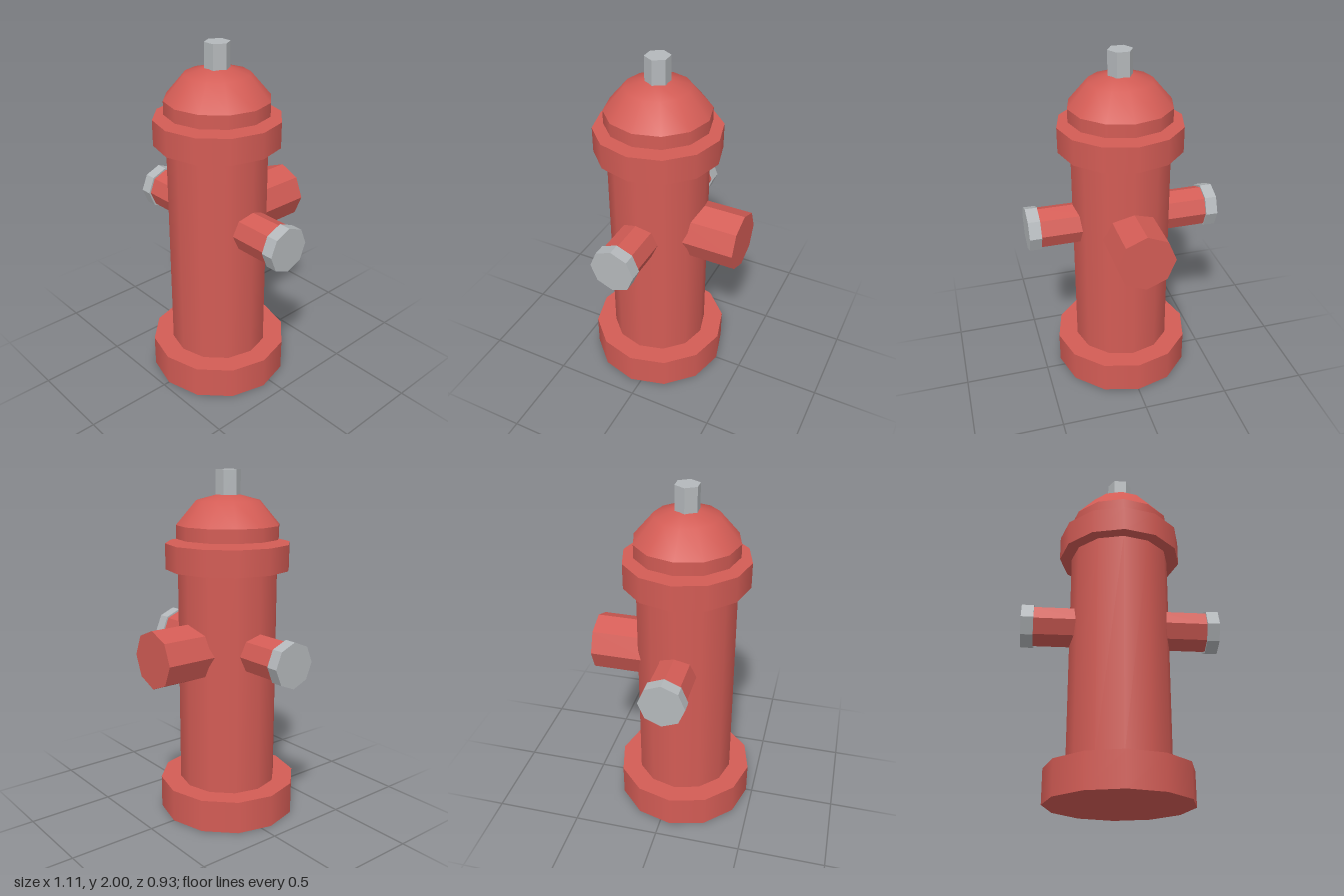
import * as THREE from 'three';

const red = new THREE.MeshStandardMaterial({ color: 0xd35c55 });
const redFlat = new THREE.MeshStandardMaterial({ color: 0xd35c55, flatShading: true });
const greyFlat = new THREE.MeshStandardMaterial({ color: 0xb4b8bb, flatShading: true });

export function createModel() {
  const hydrant = new THREE.Group();
  hydrant.name = 'fireHydrant';
  hydrant.position.z = 0.06;

  const add = (name, geometry, material) => {
    const mesh = new THREE.Mesh(geometry, material);
    mesh.name = name;
    hydrant.add(mesh);
    return mesh;
  };

  // Upright twelve-sided drum between two heights
  const drum = (name, radius, bottom, top) => {
    const mesh = add(name, new THREE.CylinderGeometry(radius, radius, top - bottom, 12), red);
    mesh.position.y = (bottom + top) / 2;
  };
  drum('base', 0.403, 0, 0.19);
  drum('barrel', 0.285, 0.19, 1.455);
  drum('flange', 0.355, 1.455, 1.6);
  drum('bonnetRim', 0.293, 1.625, 1.7);

  // Domed bonnet
  const profile = [[0.293, 1.7], [0.18, 1.833], [0.06, 1.865], [0, 1.865]];
  add('bonnet', new THREE.LatheGeometry(profile.map(([r, y]) => new THREE.Vector2(r, y)), 12), red);

  // Hexagonal operating nut
  const nut = add('operatingNut', new THREE.CylinderGeometry(0.07, 0.07, 0.137, 6).rotateY(Math.PI / 6), greyFlat);
  nut.position.y = 1.9315;

  // Octagonal side nozzles with caps
  const sidePipe = (name, radius, from, to, material, side) => {
    const mesh = add(name, new THREE.CylinderGeometry(radius, radius, to - from, 8).rotateZ(Math.PI / 2), material);
    mesh.position.set(side * (from + to) / 2, 1.003, 0);
  };
  for (const [label, side] of [['left', 1], ['right', -1]]) {
    sidePipe(label + 'Nozzle', 0.118, 0.2, 0.49, redFlat, side);
    sidePipe(label + 'NozzleCap', 0.129, 0.488, 0.557, greyFlat, side);
  }

  // Large octagonal outlet at the back
  const outlet = add('backOutlet', new THREE.CylinderGeometry(0.165, 0.165, 0.36, 8).rotateX(Math.PI / 2), redFlat);
  outlet.position.set(0, 1.0, -0.343);

  const model = new THREE.Group();
  model.add(hydrant);
  return model;
}
